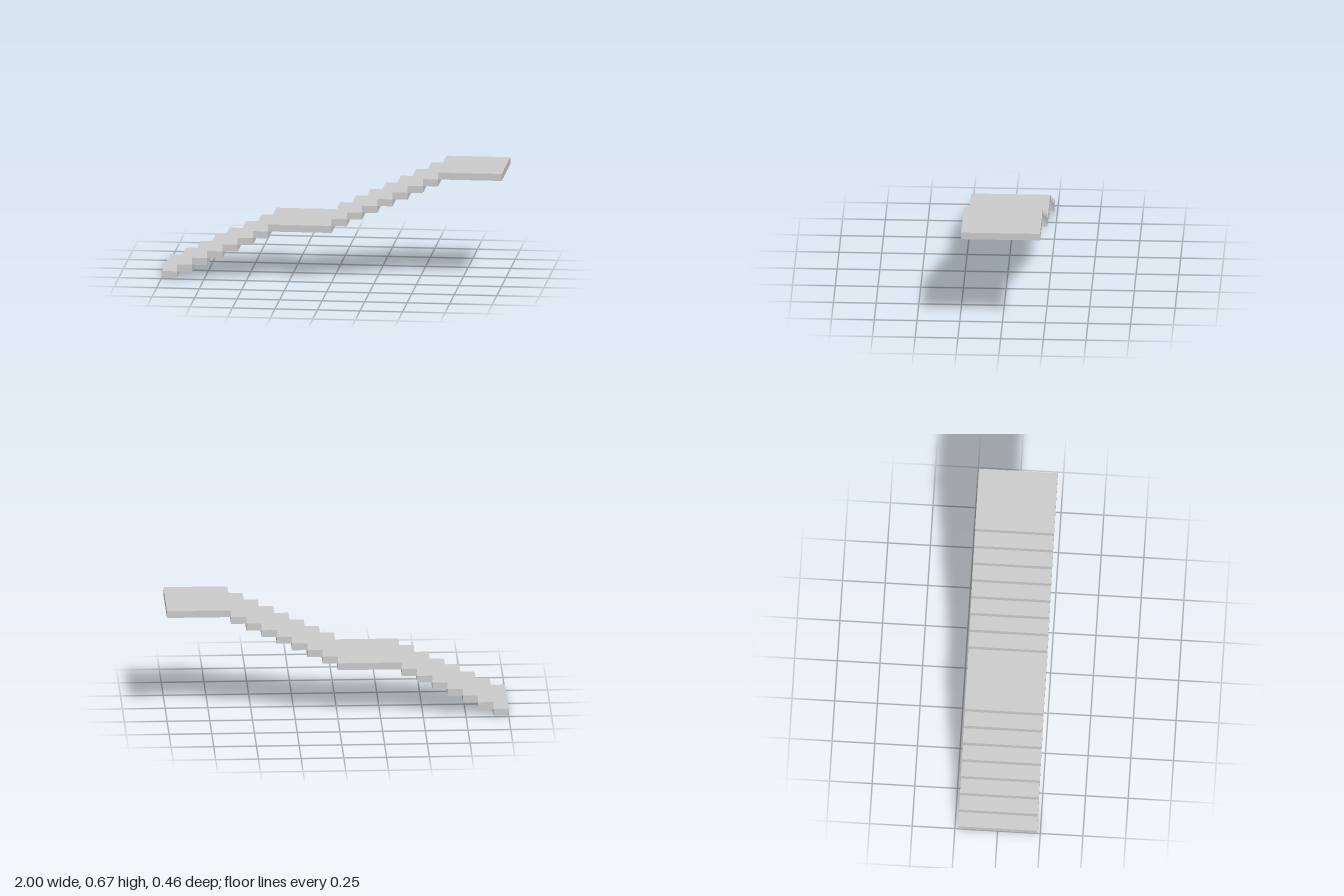
import * as THREE from 'three';

const RISE = 0.67 / 16; // slab thickness equals the height of one step
const DEPTH = 0.462;
const STEPS = 7;
const LANDING = 0.375;
const TREAD = (1 - LANDING) / STEPS;

export function createModel() {
  const model = new THREE.Group();
  model.name = 'staircase';
  const material = new THREE.MeshStandardMaterial({ color: 0xcccccc, flatShading: true });

  let x = -1;
  let level = 0;

  // Each slab starts where the previous one ends, one rise higher
  const addSlab = (parent, name, length) => {
    const slab = new THREE.Mesh(new THREE.BoxGeometry(length, RISE, DEPTH), material);
    slab.name = name;
    slab.position.set(x + length / 2, (level + 0.5) * RISE, 0);
    parent.add(slab);
    x += length;
    level++;
  };

  // Two flights, each of seven treads ending in a landing
  for (const flightName of ['lowerFlight', 'upperFlight']) {
    const flight = new THREE.Group();
    flight.name = flightName;
    for (let i = 1; i <= STEPS; i++) addSlab(flight, `step${i}`, TREAD);
    addSlab(flight, 'landing', LANDING);
    model.add(flight);
  }
  return model;
}
